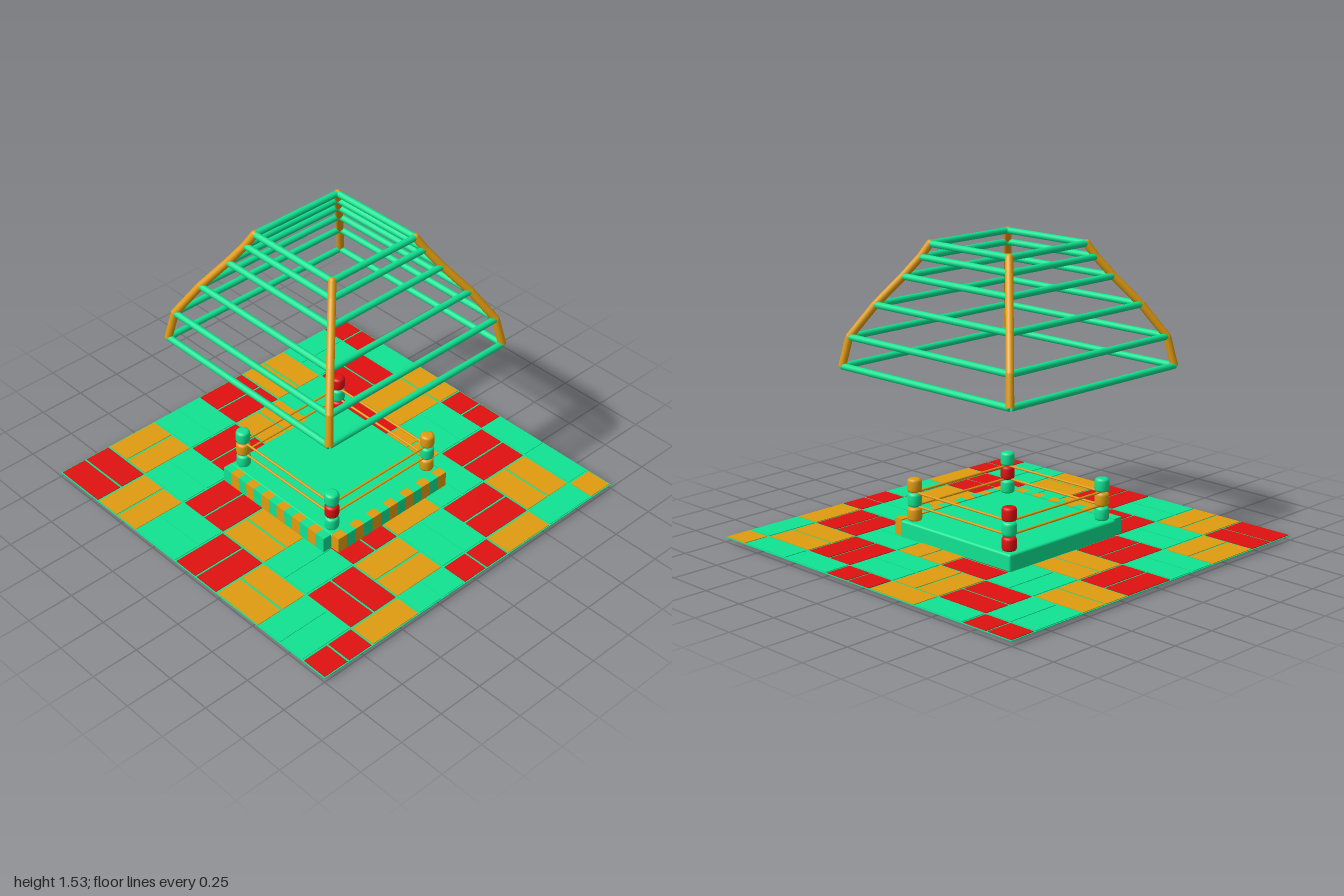
import * as THREE from 'three';
import { RoundedBoxGeometry } from 'three/addons/geometries/RoundedBoxGeometry.js';

const mats = {
  G: new THREE.MeshStandardMaterial({ color: 0x10e392 }),
  O: new THREE.MeshStandardMaterial({ color: 0xe09c10 }),
  R: new THREE.MeshStandardMaterial({ color: 0xe01010 }),
};

function add(parent, name, geometry, color, x = 0, y = 0, z = 0) {
  const mesh = new THREE.Mesh(geometry, mats[color]);
  mesh.name = name;
  mesh.position.set(x, y, z);
  parent.add(mesh);
  return mesh;
}

function group(parent, name) {
  const g = new THREE.Group();
  g.name = name;
  parent.add(g);
  return g;
}

// Straight round bar between two points
function bar(parent, name, a, b, radius, color) {
  const dir = b.clone().sub(a);
  const mid = a.clone().add(b).multiplyScalar(0.5);
  const mesh = add(parent, name, new THREE.CylinderGeometry(radius, radius, dir.length(), 12), color, mid.x, mid.y, mid.z);
  mesh.quaternion.setFromUnitVectors(new THREE.Vector3(0, 1, 0), dir.normalize());
}

// The four corners of a square, in order around it
function corners(half, y) {
  return [[-1, 1], [1, 1], [1, -1], [-1, -1]].map(([sx, sz]) => new THREE.Vector3(sx * half, y, sz * half));
}

// Basket-weave floor: pairs of planks; lower case marks a single plank
function buildFloor(root) {
  const floor = group(root, 'floor');
  add(floor, 'floorGrout', new THREE.BoxGeometry(2, 0.003, 2), 'G', 0, 0.0235, 0);
  const rows = ['ROGROGR', 'OGROGRg', 'GROGROo', 'ROGROGR', 'OGROGRg', 'GROGROg', 'RoGRogo'];
  const pitch = 0.308, gap = 0.012;
  rows.forEach((row, r) => [...row].forEach((code, c) => {
    const x0 = -1 + c * pitch, z0 = -1 + r * pitch;
    const w = Math.min(pitch, 1 - x0), d = Math.min(pitch, 1 - z0);
    let alongX = (r + c) % 2 === 1;
    if (c === 6) alongX = true;
    else if (r === 6) alongX = false;
    const color = code.toUpperCase();
    const count = code === color ? 2 : 1;
    const pw = alongX ? w : w / count, pd = alongX ? d / count : d;
    for (let i = 0; i < count; i++) {
      add(floor, 'floorPlank', new THREE.BoxGeometry(pw - gap, 0.007, pd - gap), color,
        x0 + pw / 2 + (alongX ? 0 : i * pw), 0.0245, z0 + pd / 2 + (alongX ? i * pd : 0));
    }
  }));
}

// Platform with striped skirts on the front and right sides
function buildPlatform(root) {
  const platform = group(root, 'platform');
  add(platform, 'platformBase', new RoundedBoxGeometry(0.76, 0.1, 0.765, 3, 0.012), 'G', 0, 0.061, 0);
  const n = 13, w = 0.75 / n;
  for (let i = 0; i < n; i++) {
    const t = -0.375 + (i + 0.5) * w;
    const color = i % 2 ? 'G' : 'O';
    add(platform, 'frontStripe', new THREE.BoxGeometry(w, 0.114, 0.05), color, t, 0.057, 0.402);
    add(platform, 'sideStripe', new THREE.BoxGeometry(0.05, 0.114, w), i % 2 ? 'O' : 'G', -0.402, 0.057, -t);
  }
}

// Corner posts of stacked drums, with two ropes between them
function buildFence(root) {
  const fence = group(root, 'fence');
  const r = 0.037, h = 0.071, e = 0.014;
  const profile = [[0, 0], [r - e, 0], [r - e * 0.3, e * 0.3], [r, e], [r, h - e], [r - e * 0.3, h - e * 0.3], [r - e, h], [0, h]]
    .map(([x, y]) => new THREE.Vector2(x, y));
  const drum = new THREE.LatheGeometry(profile, 20);
  const colors = ['GRG', 'OGO', 'RGR', 'GOG'];
  corners(0.33, 0).forEach((p, i) => {
    [...colors[i]].forEach((c, k) => add(fence, 'postDrum', drum, c, p.x, 0.11 + k * 0.0745, p.z));
  });
  for (const y of [0.187, 0.257]) {
    const ps = corners(0.33, y);
    ps.forEach((p, i) => bar(fence, 'rope', p, ps[(i + 1) % 4], 0.006, 'O'));
  }
}

// Hanging canopy: square rings joined by bent corner ribs
function buildCanopy(root) {
  const canopy = group(root, 'canopy');
  const levels = [[0.575, 0.903], [0.548, 1.05], [0.457, 1.21], [0.36, 1.35], [0.3, 1.445], [0.267, 1.51]];
  const rings = levels.map(([half, y]) => corners(half, y));
  rings.forEach((ps, k) => {
    ps.forEach((p, i) => bar(canopy, 'canopyRail', p, ps[(i + 1) % 4], 0.017, 'G'));
    if (k === 0) return;
    ps.forEach((p, i) => {
      bar(canopy, 'canopyRib', rings[k - 1][i], p, 0.02, 'O');
      add(canopy, 'ribJoint', new THREE.SphereGeometry(0.02, 12, 8), 'O', p.x, p.y, p.z);
    });
  });
}

export function createModel() {
  const root = new THREE.Group();
  root.name = 'arena';
  buildFloor(root);
  buildPlatform(root);
  buildFence(root);
  buildCanopy(root);
  return root;
}
